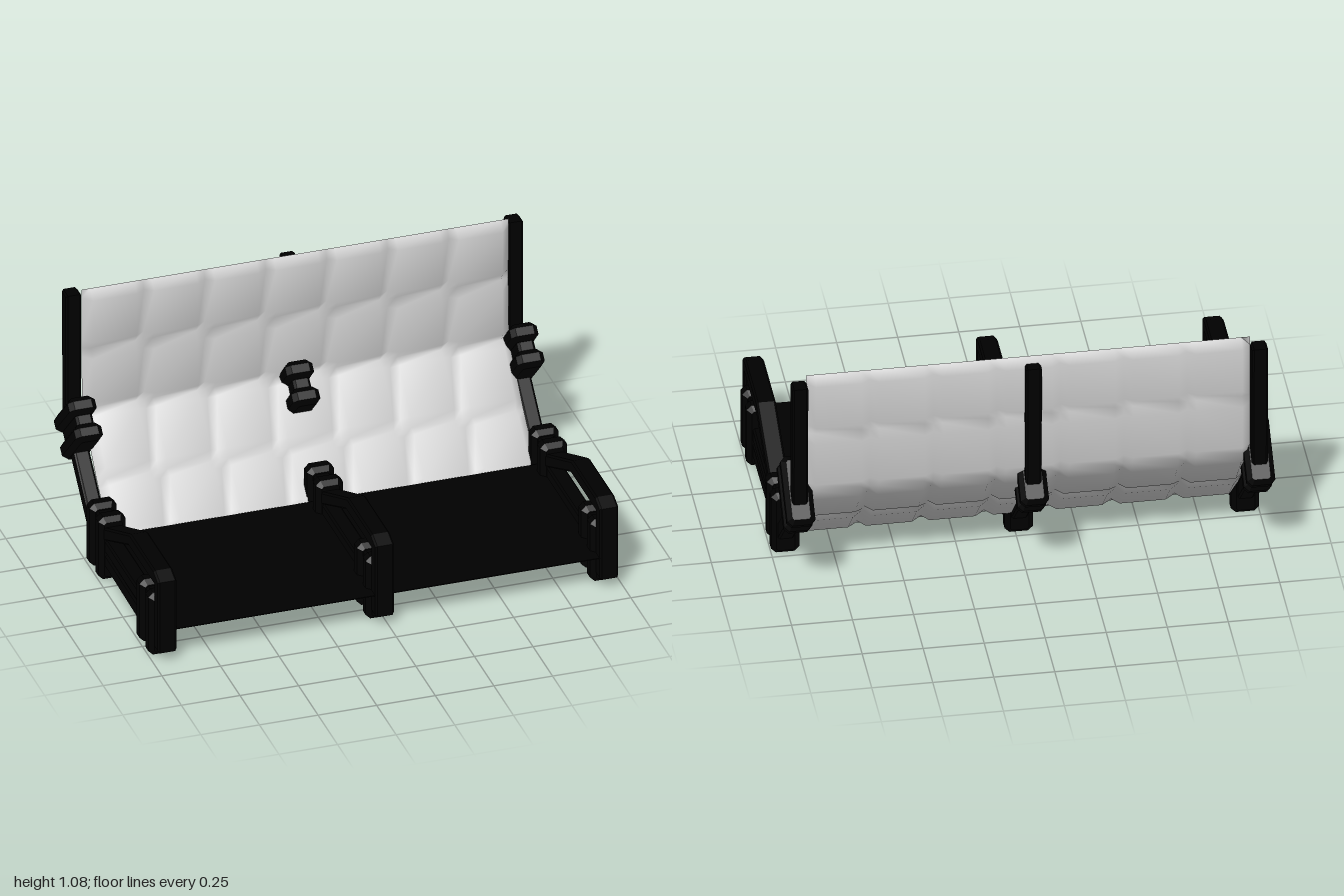
import * as THREE from 'three';

const frameMat = new THREE.MeshStandardMaterial({ name: 'black frame', color: 0x000000 });
const cushionMat = new THREE.MeshStandardMaterial({ name: 'pale grey padding', color: 0xcccccc, side: THREE.DoubleSide });

function mesh(geometry, material, name) {
  const m = new THREE.Mesh(geometry, material);
  m.name = name;
  return m;
}

// Extrude along z, centred, with a single chamfer inside the total depth
function extrude(points, depth, bevel) {
  const shape = new THREE.Shape(points.map(p => new THREE.Vector2(p[0], p[1])));
  const g = new THREE.ExtrudeGeometry(shape, {
    depth: depth - 2 * bevel, bevelEnabled: true, bevelSegments: 1,
    bevelThickness: bevel, bevelSize: bevel, bevelOffset: -bevel,
  });
  return g.translate(0, 0, bevel - depth / 2);
}

// Bar drawn as a side profile of [z, y] points, with its width along x
const sideBar = (points, name, width = 0.08) =>
  mesh(extrude(points, width, 0.008).rotateY(-Math.PI / 2), frameMat, name);

// Octagon of half sizes a, b with corner cut c
const octagon = (a, b, c) => [
  [a - c, -b], [a, c - b], [a, b - c], [a - c, b],
  [c - a, b], [-a, b - c], [-a, c - b], [c - a, -b],
];

// Joint bracket: a core block gripped by two raised bands
function createClamp(y, z, angle, name) {
  const clamp = new THREE.Group();
  clamp.name = name;
  clamp.add(mesh(extrude(octagon(0.036, 0.12, 0.01), 0.18, 0.01), frameMat, 'clampCore'));
  for (const s of [-1, 1]) {
    const band = mesh(extrude(octagon(0.058, 0.145, 0.02), 0.076, 0.02), frameMat, 'clampBand');
    band.position.z = s * 0.057;
    clamp.add(band);
  }
  clamp.position.set(0, y, z);
  clamp.rotation.x = angle;
  return clamp;
}

// One complete side frame
function createFrame(x, name) {
  const frame = new THREE.Group();
  frame.name = name;
  frame.add(
    sideBar([[-0.1, 0.165], [-0.1, 0.225], [0.28, 0.4], [0.59, 0.4], [0.65, 0.375], [0.65, 0.045],
      [0.59, 0.045], [0.59, 0.338], [0.265, 0.338]].reverse(), 'legAndArmrest'),
    sideBar([[0.6, 0.13], [0.6, 0.19], [-0.2, 0.19], [-0.2, 0.13]], 'upperRail', 0.07),
    sideBar([[0.6, 0.045], [0.6, 0.117], [-0.2, 0.125], [-0.2, 0.068]], 'lowerRail', 0.07),
    sideBar([[-0.18, 0.105], [-0.55, 0.478], [-0.575, 0.41], [-0.2, 0.04]], 'slopingBackBar', 0.066),
    sideBar([[-0.553, 0.43], [-0.553, 1.052], [-0.617, 1.052], [-0.608, 0.43]], 'backUpright', 0.066),
    createClamp(0.145, 0.5, 0, 'frontClamp'),
    createClamp(0.145, -0.142, 0, 'rearClamp'),
    createClamp(0.465, -0.497, Math.PI / 4, 'backClamp'),
  );
  frame.position.x = x;
  return frame;
}

// Quilted padding: a bent path of flat panels with chamfered seams,
// starting under the seat panel and rising up the back
function createCushion() {
  const seams = [[0.1, 0.102], [-0.18, 0.102], [-0.357, 0.287], [-0.545, 0.52], [-0.555, 0.8], [-0.55, 1.075]]
    .map(p => new THREE.Vector2(...p)); // [z, y]
  const columns = 7, width = 1.82;
  const stops = [[0, 0], [0.14, 1], [0.86, 1]];

  const path = [], across = [];
  for (let r = 0; r < seams.length - 1; r++) {
    for (const [t, puff] of stops) path.push({ p: seams[r].clone().lerp(seams[r + 1], t), puff });
  }
  path.push({ p: seams[seams.length - 1], puff: 0 });
  for (let c = 0; c < columns; c++) {
    for (const [t, puff] of stops) across.push({ x: -width / 2 + (c + t) * width / columns, puff });
  }
  across.push({ x: width / 2, puff: 0 });

  const group = new THREE.Group();
  group.name = 'quiltedPadding';
  const n = across.length, last = path.length - 1;
  for (const side of [1, -1]) {
    const positions = [], index = [];
    path.forEach(({ p, puff }, i) => {
      const t = path[Math.min(i + 1, last)].p.clone().sub(path[Math.max(i - 1, 0)].p).normalize();
      across.forEach((a, j) => {
        const border = i === 0 || i === last || j === 0 || j === n - 1;
        const h = side * (border ? 0 : 0.014 + 0.024 * puff * a.puff);
        positions.push(a.x, p.y - t.x * h, p.x + t.y * h);
        if (i < last && j < n - 1) {
          const k = i * n + j;
          if (side > 0) index.push(k, k + 1, k + n + 1, k, k + n + 1, k + n);
          else index.push(k, k + n + 1, k + 1, k, k + n, k + n + 1);
        }
      });
    });
    const g = new THREE.BufferGeometry();
    g.setAttribute('position', new THREE.Float32BufferAttribute(positions, 3));
    g.setIndex(index);
    g.computeVertexNormals();
    group.add(mesh(g, cushionMat, side > 0 ? 'cushionFront' : 'cushionBack'));
  }
  return group;
}

export function createModel() {
  const model = new THREE.Group();
  model.name = 'bench';

  // Three matching frames
  model.add(createFrame(-0.942, 'rightFrame'), createFrame(-0.015, 'middleFrame'), createFrame(0.942, 'leftFrame'));

  // Thin seat panel between the frames, resting on the padding
  const seat = mesh(new THREE.BoxGeometry(1.95, 0.004, 0.8), frameMat, 'seatPanel');
  seat.position.set(0, 0.143, 0.243);
  model.add(seat, createCushion());
  return model;
}
